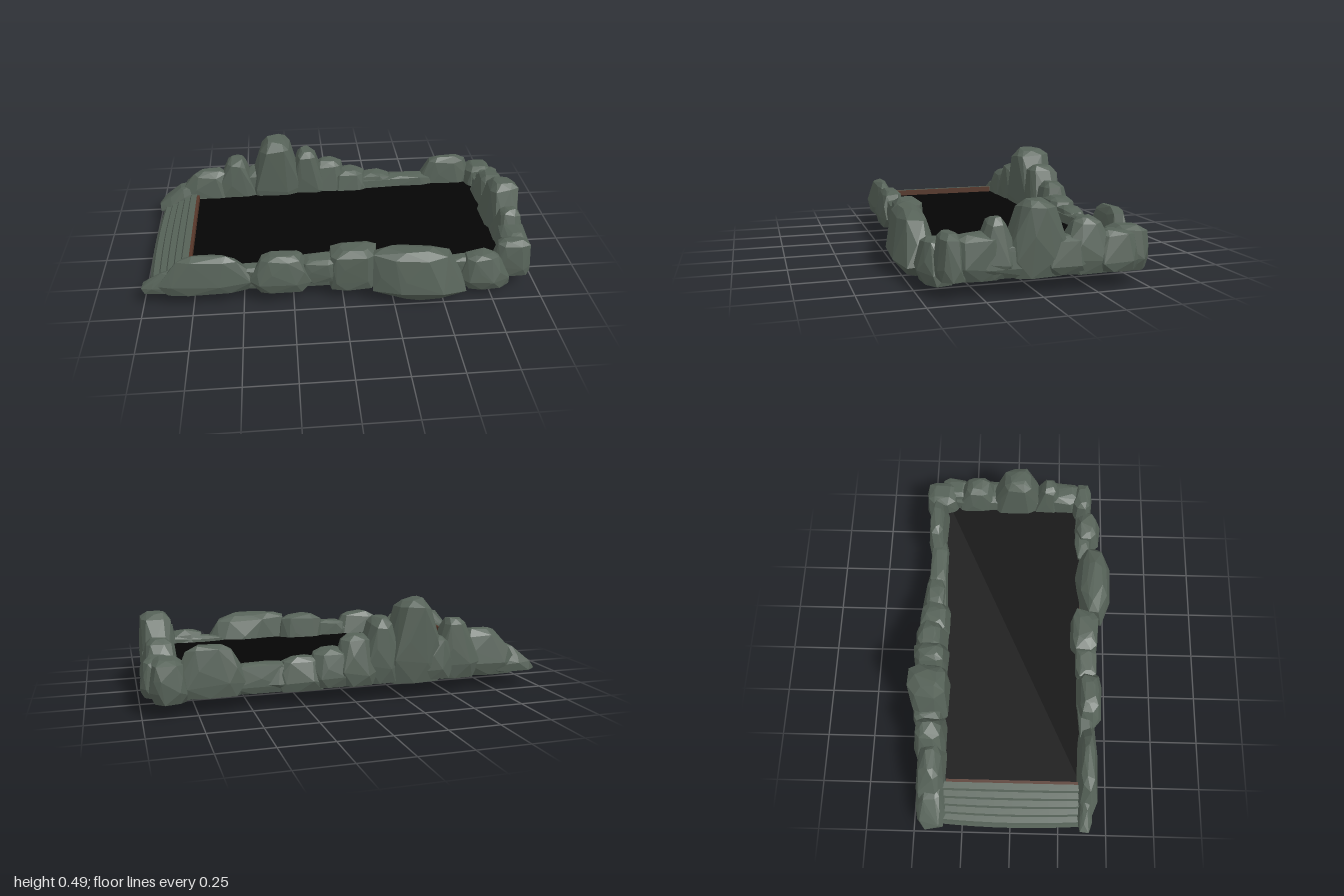
import * as THREE from 'three';
import { ConvexGeometry } from 'three/addons/geometries/ConvexGeometry.js';

const stone = new THREE.MeshStandardMaterial({ color: 0x566258, flatShading: true });
stone.name = 'mossy grey stone';
const black = new THREE.MeshStandardMaterial({ color: 0x050505 });
black.name = 'black pit';
const earth = new THREE.MeshStandardMaterial({ color: 0x40332b });
earth.name = 'dark brown earth';
const rust = new THREE.MeshStandardMaterial({ color: 0x553629 });
rust.name = 'rusty brown lip';

let seed = 7;
const rand = () => {
  seed = (seed * 16807) % 2147483647;
  return seed / 2147483647;
};

// Faceted boulder filling the given bounds. top and topZ are the crown's relative
// width and depth, lean shears it in x, base is the foot's size, power its boxiness.
function rock([x0, x1, y0, y1, z0, z1, top = 0.6, o = {}]) {
  const { topZ = top, lean = 0, base = 0.85, power = 0.6 } = o;
  const pts = [];
  const soft = (v) => Math.sign(v) * Math.pow(Math.abs(v), power);
  const ringsFor = (c) => [base, 1, 0.58 + 0.42 * c, c + 0.08, c * 0.65];
  const wide = ringsFor(top);
  const deep = ringsFor(topZ);
  [0, 0.25, 0.55, 0.88, 1].forEach((t, i) => {
    const n = 8;
    for (let k = 0; k < n; k++) {
      const a = ((k + 0.5 * (i % 2) + 0.35 * rand()) / n) * Math.PI * 2;
      const s = 0.9 + 0.14 * rand();
      const bump = i === 4 ? -0.06 * rand() : 0.1 * (rand() - 0.5) * Math.min(i, 1);
      pts.push(new THREE.Vector3(
        soft(Math.cos(a)) * s * wide[i] + lean * t, t + bump, soft(Math.sin(a)) * s * deep[i]));
    }
  });
  // fit the cloud exactly to the bounds
  const box = new THREE.Box3().setFromPoints(pts);
  const size = box.getSize(new THREE.Vector3());
  pts.forEach((p) => p.sub(box.min).divide(size)
    .multiply(new THREE.Vector3(x1 - x0, y1 - y0, z1 - z0))
    .add(new THREE.Vector3(x0, y0, z0)));
  return new THREE.Mesh(new ConvexGeometry(pts), stone);
}

function rockRow(name, list) {
  const g = new THREE.Group();
  g.name = name;
  list.forEach((r, i) => {
    const m = rock(r);
    m.name = `${name}Rock${i + 1}`;
    g.add(m);
  });
  return g;
}

// Slab with a black upper face and a lip below the ramp's edge
function makeFloor() {
  const g = new THREE.Group();
  g.name = 'floor';
  const addBox = (name, mat, w, h, d, x, y, z) => {
    const m = new THREE.Mesh(new THREE.BoxGeometry(w, h, d), mat);
    m.position.set(x, y, z);
    m.name = name;
    g.add(m);
  };
  addBox('floorSlab', earth, 1.63, 0.065, 0.77, 0.045, 0.124, -0.025);
  addBox('pitSurface', black, 1.62, 0.008, 0.76, 0.05, 0.16, -0.025);
  addBox('rampLip', rust, 0.018, 0.045, 0.68, -0.764, 0.171, 0.01);
  return g;
}

// Ridged, slightly bowed ramp at the open end
function makeRamp() {
  const s = new THREE.Shape();
  s.moveTo(-0.77, 0.088);
  s.lineTo(-0.77, 0.195);
  for (let i = 0; i < 5; i++) {
    const x = -0.775 - i * 0.036;
    const y = 0.195 - i * 0.018;
    s.lineTo(x - 0.026, y - 0.003);
    s.lineTo(x - 0.034, y - 0.018);
  }
  s.lineTo(-0.965, 0.088);
  s.closePath();
  const geo = new THREE.ExtrudeGeometry(s, { depth: 0.74, steps: 8, bevelEnabled: false });
  geo.translate(0, 0, -0.36);
  const p = geo.attributes.position;
  for (let i = 0; i < p.count; i++) {
    const bow = 1 - Math.pow(p.getZ(i) / 0.38, 2);
    p.setX(i, p.getX(i) - 0.08 * bow * (-0.77 - p.getX(i)));
  }
  geo.computeVertexNormals();
  const m = new THREE.Mesh(geo, stone);
  m.name = 'ramp';
  return m;
}

export function createModel() {
  const model = new THREE.Group();
  model.name = 'rockPit';
  model.add(makeFloor(), makeRamp());

  // each rock: x range, y range, z range, crown, options
  model.add(rockRow('front', [
    [-1, -0.66, 0.085, 0.2, 0.34, 0.425, 0.5, { lean: 0.3 }],
    [-0.92, -0.43, 0.08, 0.28, 0.33, 0.45, 0.5, { lean: 0.15 }],
    [-0.47, -0.14, 0.085, 0.285, 0.33, 0.475, 0.6],
    [-0.55, 0.1, 0.085, 0.21, 0.34, 0.425, 0.9],
    [-0.22, -0.02, 0.12, 0.245, 0.33, 0.445, 0.8],
    [-0.08, 0.18, 0.07, 0.29, 0.3, 0.455, 0.85, { base: 0.95 }],
    [0.14, 0.62, 0.005, 0.3, 0.33, 0.54, 0.75, { topZ: 0.6, lean: -0.35, base: 0.45, power: 0.85 }],
    [0.5, 0.9, 0.07, 0.2, 0.33, 0.42, 0.85],
    [0.59, 0.85, 0.04, 0.23, 0.31, 0.485, 0.55, { lean: -0.2, power: 0.85 }],
    [0.76, 0.965, 0.085, 0.28, 0.31, 0.435, 0.7, { base: 0.95 }],
  ]));

  model.add(rockRow('back', [
    [-1, -0.62, 0.09, 0.235, -0.485, -0.32, 0.5, { lean: 0.3, base: 0.95 }],
    [-0.9, -0.52, 0.08, 0.315, -0.49, -0.33, 0.42, { topZ: 0.6, lean: 0.25 }],
    [-0.68, -0.42, 0.08, 0.38, -0.51, -0.34, 0.35, { topZ: 0.7, lean: 0.1 }],
    [-0.52, -0.3, 0.09, 0.3, -0.525, -0.35, 0.7],
    [-0.46, -0.16, 0.08, 0.49, -0.53, -0.335, 0.45, { topZ: 0.85 }],
    [-0.25, -0.02, 0.09, 0.41, -0.53, -0.35, 0.4, { topZ: 0.8 }],
    [-0.12, 0.1, 0.09, 0.33, -0.54, -0.36, 0.6],
    [-0.4, 0.5, 0.085, 0.215, -0.5, -0.37, 0.9, { topZ: 0.7 }],
    [0.0, 0.22, 0.09, 0.27, -0.53, -0.35, 0.65],
    [0.13, 0.38, 0.08, 0.24, -0.52, -0.37, 0.6],
    [0.25, 0.64, 0.08, 0.22, -0.49, -0.38, 0.7],
    [0.5, 0.86, 0.08, 0.32, -0.505, -0.39, 0.55],
    [0.79, 0.965, 0.07, 0.27, -0.53, -0.33, 0.75],
  ]));

  model.add(rockRow('end', [
    [0.82, 0.975, 0.085, 0.235, -0.5, 0.4, 0.75, { topZ: 0.92 }],
    [0.81, 0.97, 0.08, 0.275, 0.14, 0.375, 0.8],
    [0.81, 0.975, 0.085, 0.34, 0.07, 0.28, 0.55, { topZ: 0.32 }],
    [0.8, 0.98, 0.08, 0.405, -0.16, 0.15, 0.75, { topZ: 0.42 }],
    [0.81, 0.99, 0.085, 0.25, -0.23, -0.02, 0.7],
    [0.81, 0.985, 0.08, 0.32, -0.37, -0.1, 0.6, { topZ: 0.35 }],
    [0.82, 1, 0.085, 0.26, -0.47, -0.25, 0.65],
  ]));
  return model;
}
